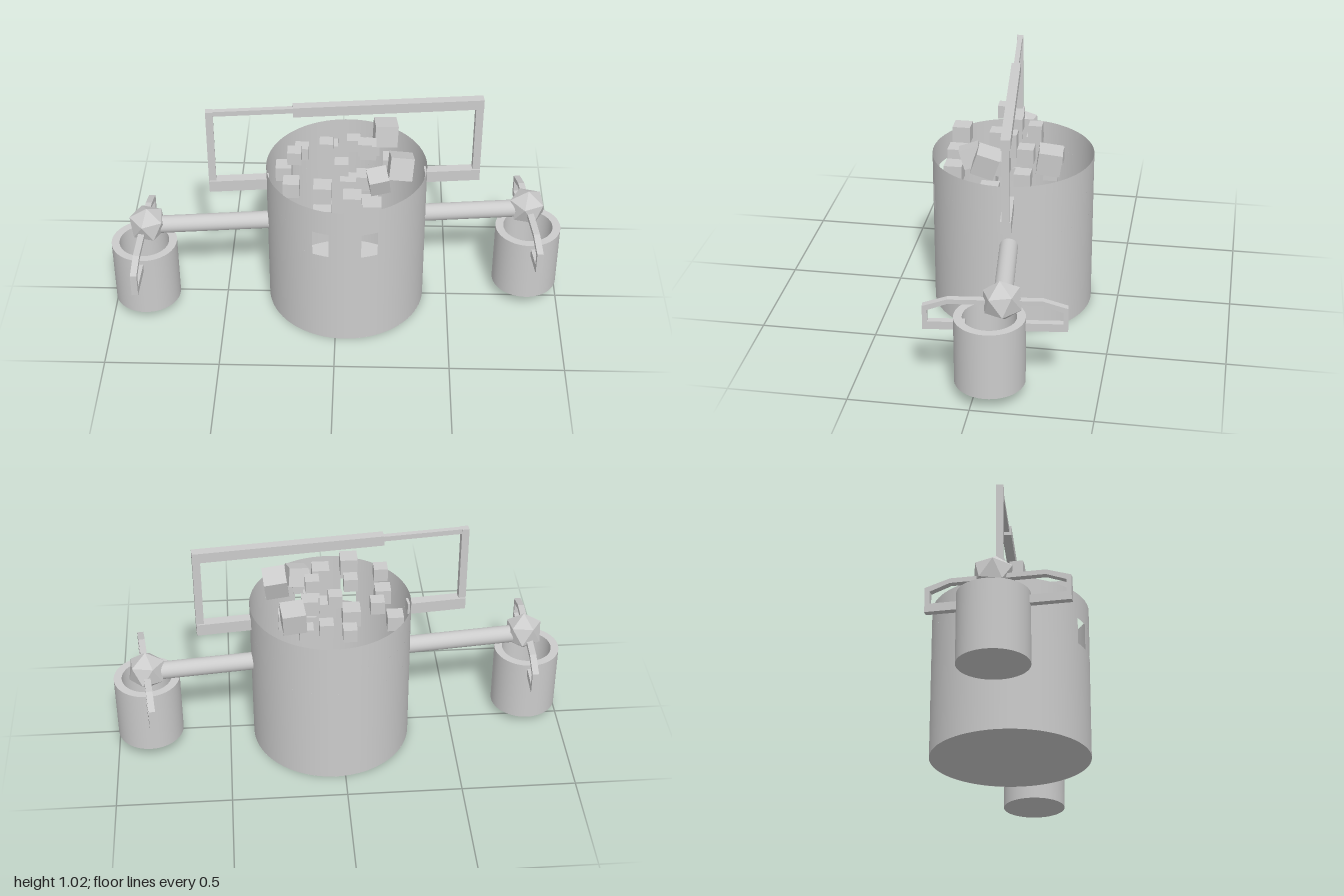
import * as THREE from 'three';

const mat = new THREE.MeshStandardMaterial({ color: 0xcccccc, side: THREE.DoubleSide });
const flat = new THREE.MeshStandardMaterial({ color: 0xcccccc, flatShading: true });

function add(parent, name, geometry, x = 0, y = 0, z = 0, material = mat) {
  const mesh = new THREE.Mesh(geometry, material);
  mesh.name = name;
  mesh.position.set(x, y, z);
  parent.add(mesh);
  return mesh;
}

// Box given by its x and y ranges
function bar(parent, name, x0, x1, y0, y1, depth) {
  return add(parent, name, new THREE.BoxGeometry(x1 - x0, y1 - y0, depth), (x0 + x1) / 2, (y0 + y1) / 2, 0);
}

// Thin open drum with two window openings in its front wall
function mainBucket() {
  const g = new THREE.Group();
  g.name = 'mainBucket';
  g.position.set(0.042, 0, -0.03);
  const R = 0.35, a = 0.2, b = 0.41, full = Math.PI * 2;
  const wall = (name, y0, y1, start, length) => add(g, name,
    new THREE.CylinderGeometry(R, R, y1 - y0, Math.max(6, Math.round(length * 12)), 1, true, start, length),
    0, (y0 + y1) / 2, 0);
  wall('lowerWall', 0, 0.46, b, full);
  wall('upperWall', 0.58, 0.7, b, full);
  wall('windowPost', 0.46, 0.58, -a, 2 * a);
  wall('middleWall', 0.46, 0.58, b, full - 2 * b);
  add(g, 'bucketFloor', new THREE.CircleGeometry(R, 72).rotateX(Math.PI / 2), 0, 0.001, 0);
  return g;
}

// Cubes heaped inside: x, top y, z, size, then optional tilt
function rubble() {
  const g = new THREE.Group();
  g.name = 'rubble';
  const s = 0.07;
  const cubes = [
    [-0.03, 0.69, -0.21, 0.06], [0.07, 0.72, -0.21, 0.06], [0.155, 0.7, -0.21, 0.06],
    [-0.235, 0.66, -0.085, s], [-0.155, 0.75, -0.1, 0.06], [-0.18, 0.825, 0.04, 0.06],
    [-0.195, 0.69, 0.075, s], [0.135, 0.77, -0.1, s], [0.235, 0.7, -0.1, s],
    [-0.045, 0.825, -0.03, 0.06], [0.12, 0.825, -0.03, 0.06], [0.02, 0.73, -0.015, 0.06],
    [0.12, 0.7, 0.03, s], [0.05, 0.67, 0.02, s],
    [-0.055, 0.77, 0.21, 0.077], [0.07, 0.72, 0.21, 0.077], [0.155, 0.68, 0.21, 0.077],
    [-0.06, 0.57, 0.1, 0.08], [0.14, 0.58, 0.06, 0.08],
    [0.21, 0.805, -0.21, 0.1, -0.14, 0.1], [0.275, 0.815, 0.05, 0.1, -0.32, 0.08],
    [0.18, 0.785, 0.13, 0.085, 0.3, 0.2]];
  for (const [x, top, z, size, rx = 0, ry = 0] of cubes) {
    const half = size / 2 * (1 + Math.abs(rx) * 0.7);
    add(g, 'rubbleCube', new THREE.BoxGeometry(size, size, size), x, top - half, z, flat)
      .rotation.set(rx, ry, rx * 0.3);
  }
  return g;
}

// Arms, end knobs and the tall carrying handle share one slightly turned plane
function yoke() {
  const g = new THREE.Group();
  g.name = 'yoke';
  g.position.z = -0.025;
  g.rotation.y = 0.1;
  for (const [x0, x1] of [[-0.84, -0.297], [0.383, 0.853]]) {
    add(g, 'arm', new THREE.CylinderGeometry(0.039, 0.039, x1 - x0, 24).rotateZ(Math.PI / 2),
      (x0 + x1) / 2, 0.42, 0);
  }
  for (const x of [-0.838, 0.853]) {
    add(g, 'armKnob', new THREE.IcosahedronGeometry(0.087, 0).rotateZ(0.5536), x, 0.43, 0, flat)
      .rotation.x = 0.12;
  }
  bar(g, 'handleFootRight', -0.555, -0.297, 0.603, 0.657, 0.045);
  bar(g, 'handleFootLeft', 0.383, 0.625, 0.603, 0.657, 0.045);
  bar(g, 'handlePostRight', -0.557, -0.525, 0.603, 1.01, 0.03);
  bar(g, 'handlePostLeft', 0.593, 0.626, 0.603, 1.015, 0.03);
  bar(g, 'handleTopRod', -0.557, -0.18, 0.987, 1.01, 0.022);
  bar(g, 'handleGrip', -0.187, 0.626, 0.972, 1.018, 0.04);
  return g;
}

// Bail handle: a flat band that drops at both ends and returns to the bucket
function bailGeometry() {
  const half = [[0.12, 0.3], [0.29, 0.3], [0.29, 0.405], [0.19, 0.437]];
  const inner = [[0.19, 0.417], [0.27, 0.387], [0.27, 0.335], [0.12, 0.335]];
  const right = [...inner, ...half];
  // Outer edge, then back along the inner edge
  const outline = [
    ...half, ...half.slice().reverse().map(([z, y]) => [-z, y]),
    ...inner.slice().reverse().map(([z, y]) => [-z, y]), ...inner];
  const shape = new THREE.Shape(outline.map(([z, y]) => new THREE.Vector2(z, y)));
  return new THREE.ExtrudeGeometry(shape, { depth: 0.028, bevelEnabled: false })
    .translate(0, 0, -0.014).rotateY(-Math.PI / 2);
}

// Small thick-walled bucket with its bail handle
function smallBucket(name, x, y, z, bailZ, turn) {
  const g = new THREE.Group();
  g.name = name;
  g.position.set(x, y, z);
  const R = 0.145, r = 0.11, h = 0.295;
  add(g, 'outerWall', new THREE.CylinderGeometry(R, R, h, 48, 1, true), 0, h / 2, 0);
  add(g, 'innerWall', new THREE.CylinderGeometry(r, r, h - 0.03, 48, 1, true), 0, h / 2 + 0.015, 0);
  add(g, 'rim', new THREE.RingGeometry(r, R, 48).rotateX(-Math.PI / 2), 0, h, 0);
  add(g, 'innerFloor', new THREE.CircleGeometry(r, 48).rotateX(-Math.PI / 2), 0, 0.03, 0);
  add(g, 'base', new THREE.CircleGeometry(R, 48).rotateX(Math.PI / 2));
  add(g, 'bailHandle', bailGeometry(), 0, -0.06, bailZ - z).rotation.y = turn;
  return g;
}

export function createModel() {
  const model = new THREE.Group();
  model.name = 'bucketCarrier';
  model.add(
    mainBucket(), rubble(), yoke(),
    smallBucket('leftBucket', 0.855, 0.06, -0.06, -0.083, 0.113),
    smallBucket('rightBucket', -0.855, 0.04, 0.065, 0.083, -0.024));
  return model;
}
